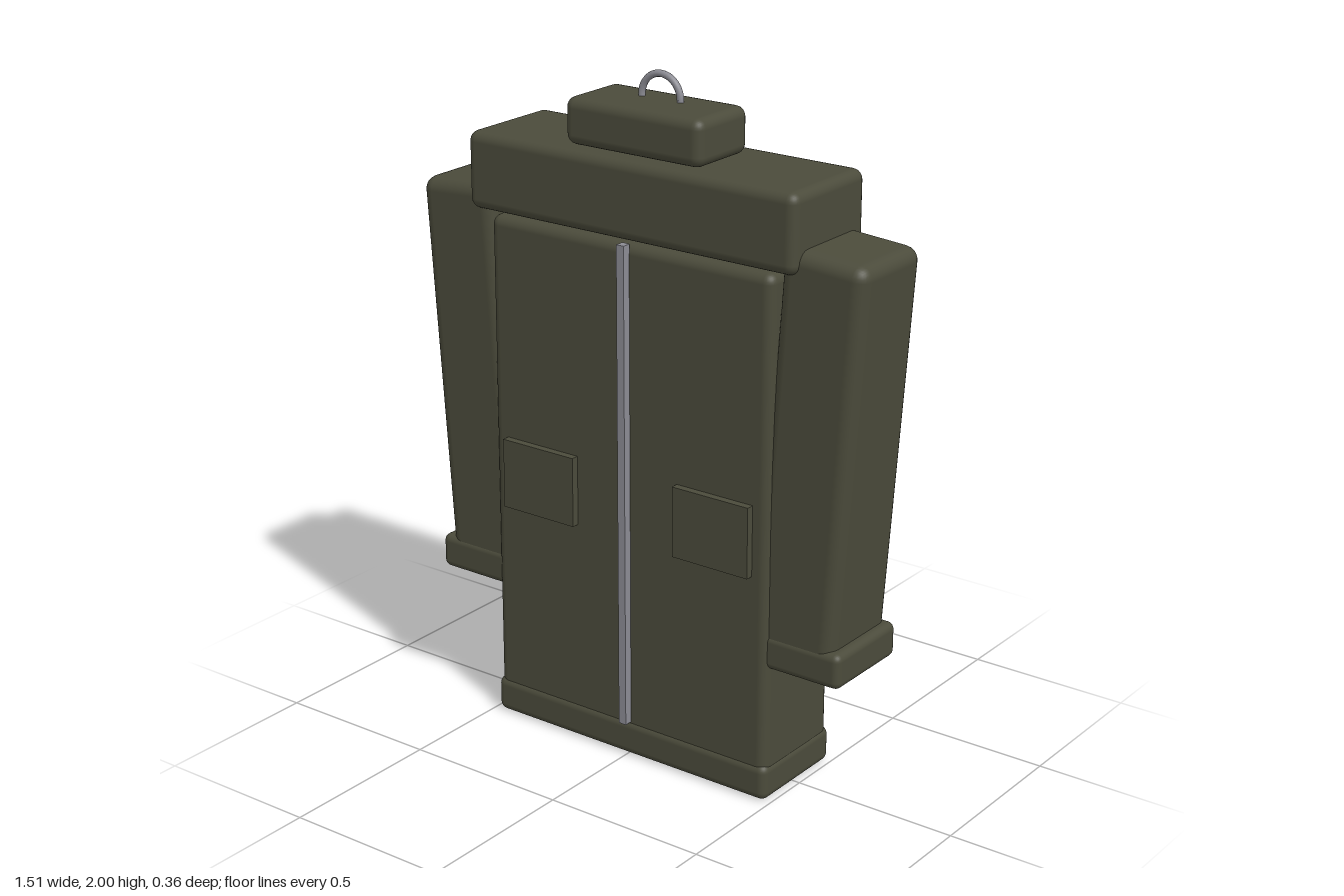
import * as THREE from 'three';
import { RoundedBoxGeometry } from 'three/addons/geometries/RoundedBoxGeometry.js';

export function createModel() {
  const model = new THREE.Group();
  model.name = 'coat';

  const cloth = new THREE.MeshStandardMaterial({ color: 0x4b4b3b });
  cloth.name = 'olive cloth';
  const metal = new THREE.MeshStandardMaterial({ color: 0x8c8c94 });
  metal.name = 'grey metal';

  const add = (name, geometry, material, x, y, z) => {
    const mesh = new THREE.Mesh(geometry, material);
    mesh.name = name;
    mesh.position.set(x, y, z);
    model.add(mesh);
    return mesh;
  };
  // Soft-edged cloth block given by its centre x, y and z limits
  const block = (name, x, width, y0, y1, z0, z1, radius) =>
    add(name, new RoundedBoxGeometry(width, y1 - y0, z1 - z0, 3, radius), cloth,
      x, (y0 + y1) / 2, (z0 + z1) / 2);

  // Torso, hem, shoulder yoke and collar
  block('body', 0, 0.965, 0.02, 1.55, -0.167, 0.153, 0.03);
  block('hem', 0, 0.975, 0, 0.11, -0.173, 0.16, 0.025);
  block('shoulderYoke', 0, 1.11, 1.557, 1.782, -0.178, 0.161, 0.03);
  block('collar', 0, 0.46, 1.786, 1.92, -0.098, 0.13, 0.03);
  block('collarStand', 0, 0.3, 1.76, 1.81, -0.05, 0.08, 0.01);

  // Sleeves lean outward at the shoulder; cuffs sit level
  for (const [side, s] of [['left', 1], ['right', -1]]) {
    const sleeve = block(side + 'Sleeve', s * 0.586, 0.262, 0.45, 1.62, -0.151, 0.136, 0.04);
    sleeve.rotation.z = -s * 0.069;
    block(side + 'Cuff', s * 0.56, 0.3, 0.405, 0.51, -0.155, 0.14, 0.022);
    // Patch pocket
    add(side + 'Pocket', new THREE.BoxGeometry(0.255, 0.21, 0.03), cloth, s * 0.303, 0.785, 0.161);
  }

  // Front zip and hanging loop
  add('zip', new THREE.BoxGeometry(0.025, 1.445, 0.028), metal, 0, 0.829, 0.164);
  add('hangingLoop', new THREE.TorusGeometry(0.065, 0.01, 10, 28, Math.PI), metal, 0, 1.925, -0.008);
  for (const s of [-1, 1]) {
    add('loopEnd', new THREE.CylinderGeometry(0.01, 0.01, 0.02, 10), metal, s * 0.065, 1.916, -0.008);
  }
  return model;
}
